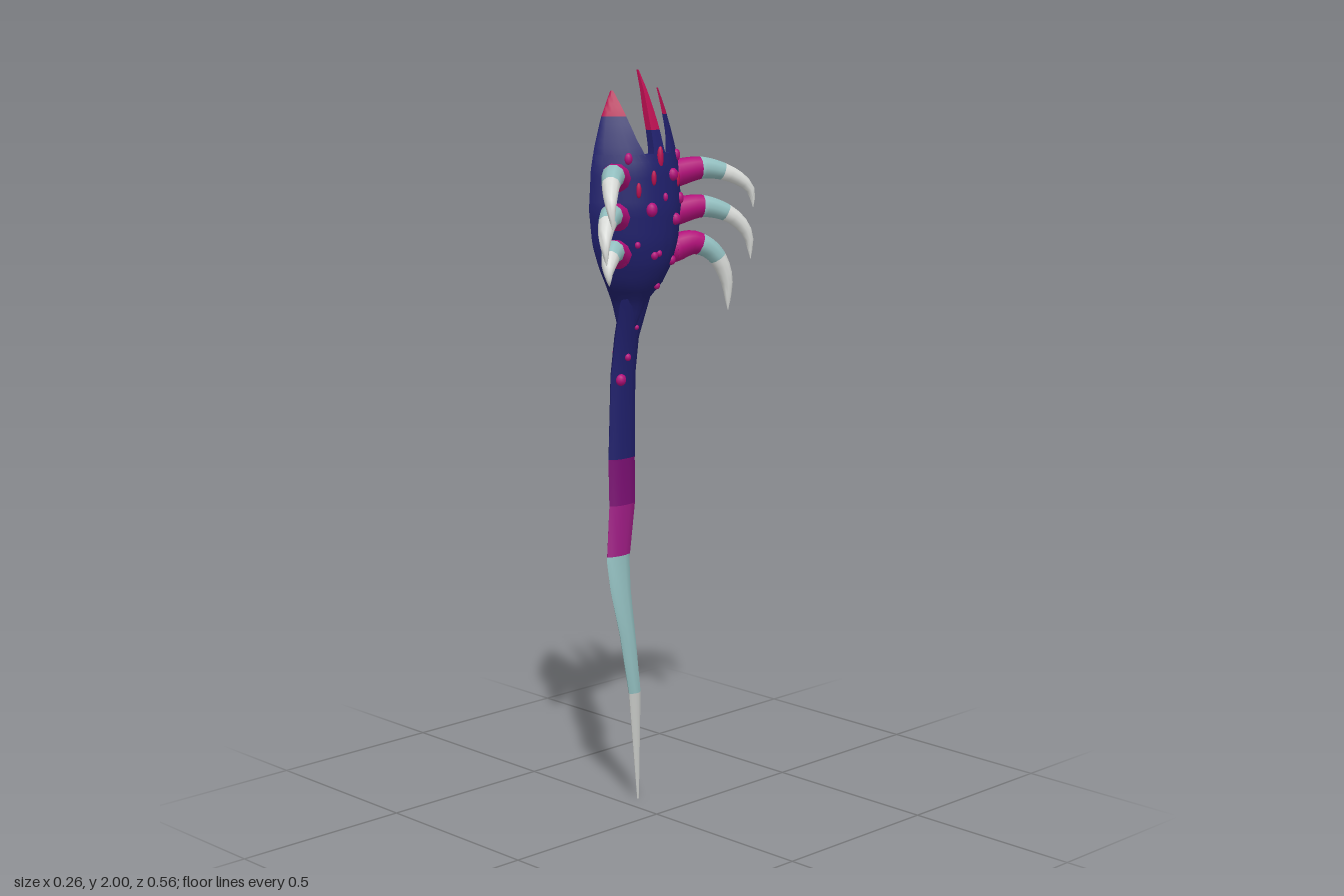
import * as THREE from 'three';
import { toCreasedNormals } from 'three/addons/utils/BufferGeometryUtils.js';

const mat = (name, color) => {
  const m = new THREE.MeshStandardMaterial({ color });
  m.name = name;
  return m;
};
const V = (x, y, z) => new THREE.Vector3(x, y, z);

// Linear lookup in rows [key, a, b, ...]
function lookup(rows, y) {
  let i = 0;
  while (i < rows.length - 2 && y > rows[i + 1][0]) i++;
  const a = rows[i], b = rows[i + 1];
  const t = THREE.MathUtils.clamp((y - a[0]) / (b[0] - a[0]), 0, 1);
  return a.map((v, k) => v + (b[k] - v) * t).slice(1);
}

// Skin rings of equal point count, with strip caps at both ends
function loft(rings, crease = 0.8) {
  const m = rings[0].length, pos = [], idx = [];
  rings.forEach(r => r.forEach(p => pos.push(p.x, p.y, p.z)));
  for (let j = 0; j < rings.length - 1; j++) {
    for (let i = 0; i < m; i++) {
      const a = j * m + i, b = j * m + (i + 1) % m;
      idx.push(a, b, a + m, b, b + m, a + m);
    }
  }
  const top = (rings.length - 1) * m;
  for (let i = 0; i < m / 2 - 1; i++) {
    const q = [i, i + 1, m - 2 - i, m - 1 - i];
    idx.push(q[0], q[2], q[1], q[0], q[3], q[2]);
    idx.push(top + q[0], top + q[1], top + q[3], top + q[1], top + q[2], top + q[3]);
  }
  const g = new THREE.BufferGeometry();
  g.setAttribute('position', new THREE.Float32BufferAttribute(pos, 3));
  g.setIndex(idx);
  return toCreasedNormals(g, crease);
}

// Values from a to b including both ends
const range = (a, b, n) => Array.from({ length: n + 1 }, (_, i) => a + (b - a) * i / n);

// Handle stations: y, centre x, centre z, half depth x, half width z
const HANDLE = [
  [0, -0.128, -0.053, 0.002, 0.003], [0.33, -0.075, 0.01, 0.011, 0.02],
  [0.5, -0.077, 0.035, 0.013, 0.027], [0.62, -0.09, 0.047, 0.014, 0.036],
  [0.7, -0.098, 0.048, 0.015, 0.041], [0.85, -0.105, 0.026, 0.016, 0.047],
  [0.97, -0.11, 0.023, 0.017, 0.048], [1.2, -0.104, 0.023, 0.019, 0.043],
  [1.3, -0.09, 0.023, 0.021, 0.041], [1.4, -0.06, 0.023, 0.024, 0.05],
  [1.46, -0.03, 0.023, 0.014, 0.05],
];

// Head stations: y, half width, back plane x, depth, wall at the middle
const HEAD = [
  [1.33, 0.03, -0.09, 0.03, 0.028], [1.4, 0.057, -0.083, 0.052, 0.045],
  [1.45, 0.098, -0.062, 0.07, 0.045], [1.5, 0.125, -0.06, 0.093, 0.035],
  [1.56, 0.147, -0.06, 0.107, 0.03], [1.65, 0.158, -0.06, 0.113, 0.028],
  [1.75, 0.151, -0.06, 0.106, 0.026], [1.8, 0.141, -0.06, 0.094, 0.024],
  [1.85, 0.126, -0.06, 0.08, 0.022], [1.9, 0.109, -0.06, 0.062, 0.02],
  [1.95, 0.086, -0.06, 0.042, 0.014], [2, 0.06, -0.06, 0.016, 0.006],
];
const CZ = 0.023;

// Point on the bowl at height y and offset dz from its middle
function bowl(y, dz, inside = false) {
  const [w, back, depth, wall] = lookup(HEAD, y);
  const u = Math.min(1, Math.abs(dz) / w);
  const x = back + depth * (1 - u ** 2.2);
  return V(inside ? Math.max(back - 0.002, x - wall * (1 - 0.65 * u)) : x, y, CZ + dz);
}

// Crescent cross-section between two offsets
function crescent(y, lo, hi, n) {
  const zs = range(hi, lo, n);
  return [...zs.map(d => bowl(y, d)), ...zs.reverse().map(d => bowl(y, d, true))];
}

// Horn outlines: y, inner edge, outer edge
const SIDE_HORN = [[1.77, 0.04, 0.146], [1.8, 0.05, 0.141], [1.83, 0.06, 0.132],
  [1.88, 0.069, 0.116], [1.95, 0.08, 0.082]];
const MID_HORN = [[1.77, -0.026, 0.026], [1.8, -0.018, 0.018], [1.88, -0.013, 0.013], [2, -0.001, 0.001]];

export function createModel() {
  const root = new THREE.Group();
  const navy = mat('navy', 0x20206c), magenta = mat('magenta', 0xb20f7a);
  const purple = mat('purple', 0x7a0f72), plum = mat('plum', 0x9c1c82);
  const teal = mat('pale teal', 0x93bfc0), bone = mat('bone', 0xd9dbd8);
  const red = mat('crimson', 0xb80f50);
  const add = (name, geo, material, parent = root) => {
    const mesh = new THREE.Mesh(geo, material);
    mesh.name = name;
    parent.add(mesh);
    return mesh;
  };

  // Handle, in colour bands from the pointed tail up to the head
  const handleRing = y => {
    const [x, z, rx, rz] = lookup(HANDLE, y);
    return range(0, 9, 9).map(i => {
      const a = (i + 0.5) * Math.PI / 5;
      return V(x + rx * Math.cos(a), y, z - rz * Math.sin(a));
    });
  };
  [['tailTip', 0, 0.33, bone], ['tail', 0.33, 0.715, teal], ['lowerGrip', 0.715, 0.85, plum],
    ['upperGrip', 0.85, 0.975, purple], ['shaft', 0.975, 1.46, navy]].forEach(([name, lo, hi, m]) => {
    const ys = [lo, ...HANDLE.map(r => r[0]).filter(y => y > lo && y < hi), hi];
    add(name, loft(ys.map(handleRing)), m);
  });

  // Hollow spoon-shaped head
  add('head', loft(range(1.33, 1.79, 23).map(y => {
    const w = lookup(HEAD, y)[0];
    return crescent(y, -w, w, 20);
  })), navy);

  // Three horns with crimson tips
  const horn = (name, rows, side, tipY) => {
    const ring = y => {
      const [a, b] = lookup(rows, y);
      return side < 0 ? crescent(y, -b, -a, 6) : crescent(y, a, b, 6);
    };
    const end = rows[rows.length - 1][0];
    add(name, loft(range(1.77, tipY, 6).map(ring)), navy);
    add(name + 'Tip', loft(range(tipY, end, 6).map(ring)), red);
  };
  horn('leftHorn', SIDE_HORN, 1, 1.885);
  horn('rightHorn', SIDE_HORN, -1, 1.885);
  horn('middleHorn', MID_HORN, 1, 1.85);

  // Curved claws: side, base height, tip x, y, z
  const CLAWS = [
    [1, 1.73, 0.127, 1.62, 0.275], [1, 1.63, 0.1, 1.53, 0.272], [1, 1.535, 0.06, 1.47, 0.225],
    [-1, 1.73, 0.085, 1.635, -0.272], [-1, 1.63, 0.085, 1.5, -0.263], [-1, 1.535, 0.05, 1.365, -0.215],
  ];
  const RADIUS = [[0, 0.038], [0.24, 0.031], [0.45, 0.025], [0.7, 0.018], [0.9, 0.008], [1, 0.001]];
  CLAWS.forEach(([s, y, tx, ty, tz]) => {
    const group = new THREE.Group();
    group.name = s > 0 ? 'leftClaw' : 'rightClaw';
    root.add(group);
    const base = V(-0.018, y, CZ + s * 0.1);
    const at = (f, g, h) => V(base.x + (tx - base.x) * f, y + (ty - y) * g, base.z + (tz - base.z) * h);
    const curve = new THREE.CatmullRomCurve3([
      base, at(0.34, -0.08, 0.4).setY(y + 0.012), at(0.7, 0.12, 0.78), at(0.93, 0.5, 0.98), V(tx, ty, tz)]);
    const ring = t => {
      const p = curve.getPointAt(t), d = curve.getTangentAt(t), r = lookup(RADIUS, t)[0];
      const n = V(1, 0, -s * 0.6).addScaledVector(d, -V(1, 0, -s * 0.6).dot(d)).normalize();
      const b = d.clone().cross(n);
      return range(0, 9, 9).map(i => {
        const a = i * Math.PI / 5;
        return p.clone().addScaledVector(n, r * Math.cos(a)).addScaledVector(b, r * Math.sin(a));
      });
    };
    [['clawRoot', 0, 0.27, magenta], ['clawBand', 0.27, 0.5, teal], ['clawTip', 0.5, 1, bone]]
      .forEach(([name, lo, hi, m]) => add(name, loft(range(lo, hi, 6).map(ring), 1.2), m, group));
    // Swollen collar where the claw leaves the head
    const collar = add('clawCollar', new THREE.SphereGeometry(0.038, 12, 8), magenta, group);
    collar.position.copy(base);
    collar.scale.set(1, 1, 0.8);
  });

  // Warts: offset, y, radius, vertical stretch
  const wart = (p, r, stretch, m) => {
    const mesh = add('wart', new THREE.SphereGeometry(r, 10, 7), m);
    mesh.position.copy(p);
    mesh.scale.set(0.75, stretch, 1);
  };
  [[-0.04, 1.735, 0.017, 1], [0.04, 1.65, 0.017, 1.1], [-0.05, 1.62, 0.016, 1], [0.022, 1.53, 0.011, 1],
    [-0.06, 1.51, 0.013, 1], [-0.022, 1.445, 0.01, 1], [0.008, 1.535, 0.009, 1], [-0.085, 1.67, 0.012, 1.3],
    [0.07, 1.56, 0.009, 1], [-0.005, 1.68, 0.008, 1.4], [0.085, 1.78, 0.012, 1.3], [-0.09, 1.78, 0.012, 1.3],
  ].forEach(([dz, y, r, k]) => wart(bowl(y, dz), r, k, magenta));
  [[0.002, 1.78, 0.01, 3], [0.03, 1.73, 0.008, 2.5], [-0.07, 1.72, 0.008, 2.5], [0.07, 1.7, 0.008, 2.5]]
    .forEach(([dz, y, r, k]) => wart(bowl(y, dz), r, k, red));
  // Clusters inside the hollow
  [[-0.04, 1.74], [-0.06, 1.72], [-0.035, 1.7], [-0.055, 1.685], [-0.03, 1.54], [-0.05, 1.52], [-0.025, 1.505]]
    .forEach(([dz, y]) => wart(bowl(y, dz, true), 0.011, 1, magenta));
  // Front and back of the shaft
  [[1, 0.03, 1.25, 0.01], [1, 0.045, 1.19, 0.016], [1, 0.015, 1.33, 0.007],
    [-1, 0.01, 1.34, 0.008], [-1, 0.04, 1.26, 0.01], [-1, 0.005, 1.22, 0.009], [-1, 0.03, 1.13, 0.008],
  ].forEach(([s, z, y, r]) => {
    const [x, cz, rx, rz] = lookup(HANDLE, y);
    wart(V(x + s * rx * Math.sqrt(Math.max(0, 1 - ((z - cz) / rz) ** 2)), y, z), r, 1, magenta);
  });

  return root;
}
